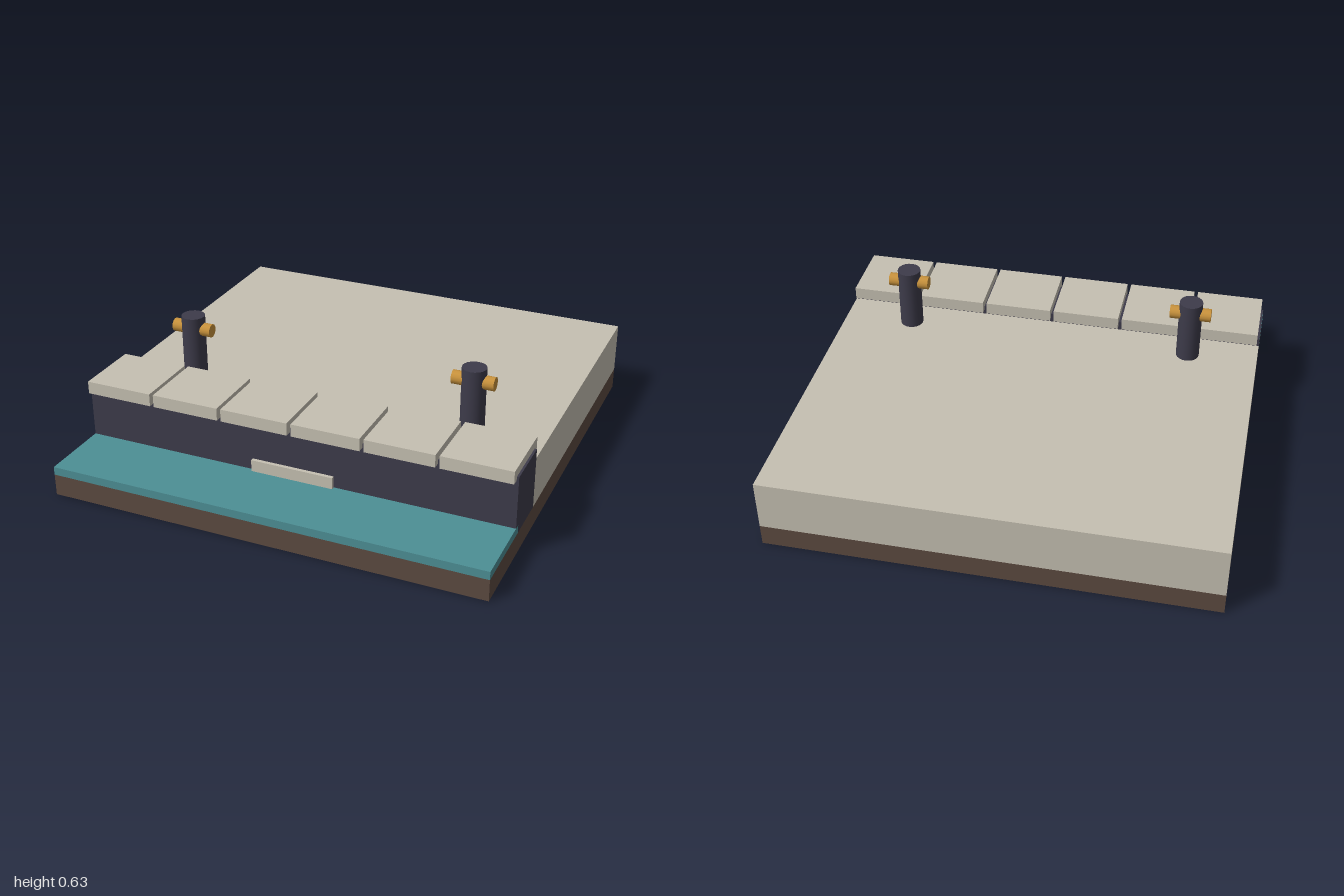
import * as THREE from 'three';

function material(name, color) {
  const m = new THREE.MeshStandardMaterial({ color });
  m.name = name;
  return m;
}

export function createModel() {
  const stone = material('pale stone', 0xc6c0b2);
  const iron = material('dark iron', 0x3d3b4a);
  const earth = material('brown earth', 0x5c4a40);
  const water = material('teal water', 0x4d8f95);
  const brass = material('brass', 0xc8923c);

  const quay = new THREE.Group();
  quay.name = 'quay';

  function add(parent, name, geometry, mat, x = 0, y = 0, z = 0) {
    const mesh = new THREE.Mesh(geometry, mat);
    mesh.name = name;
    mesh.position.set(x, y, z);
    parent.add(mesh);
    return mesh;
  }

  // Box given by its limits along each axis
  function block(name, mat, [x0, x1], [y0, y1], [z0, z1]) {
    return add(quay, name, new THREE.BoxGeometry(x1 - x0, y1 - y0, z1 - z0), mat,
      (x0 + x1) / 2, (y0 + y1) / 2, (z0 + z1) / 2);
  }

  // Ground, paving, retaining wall and water
  block('groundBase', earth, [-1, 1], [0, 0.1], [-1, 1]);
  block('pavedDeck', stone, [-1, 1], [0.1, 0.337], [-1, 0.425]);
  block('quayWall', iron, [-1, 1], [0.1, 0.38], [0.425, 0.67]);
  block('waterStrip', water, [-1, 1], [0.1, 0.138], [0.64, 1]);
  block('wallPlaque', stone, [-0.192, 0.192], [0.13, 0.192], [0.66, 0.687]);

  // Row of coping slabs with narrow gaps
  const count = 6, pitch = 0.333, width = 0.315;
  for (let i = 0; i < count; i++) {
    const x = (i - (count - 1) / 2) * pitch;
    block('copingSlab', stone, [x - width / 2, x + width / 2], [0.362, 0.42], [0.392, 0.703]);
  }

  // Mooring bollards with a crossbar
  for (const side of [-1, 1]) {
    const bollard = new THREE.Group();
    bollard.name = side > 0 ? 'leftBollard' : 'rightBollard';
    bollard.position.set(side * 0.674, 0.337, 0.292);
    add(bollard, 'post', new THREE.CylinderGeometry(0.054, 0.054, 0.295, 20), iron, 0, 0.1475, 0);
    const bar = add(bollard, 'crossbar', new THREE.CylinderGeometry(0.031, 0.031, 0.19, 14), brass, 0, 0.233, 0);
    bar.rotation.z = Math.PI / 2;
    quay.add(bollard);
  }

  return quay;
}
